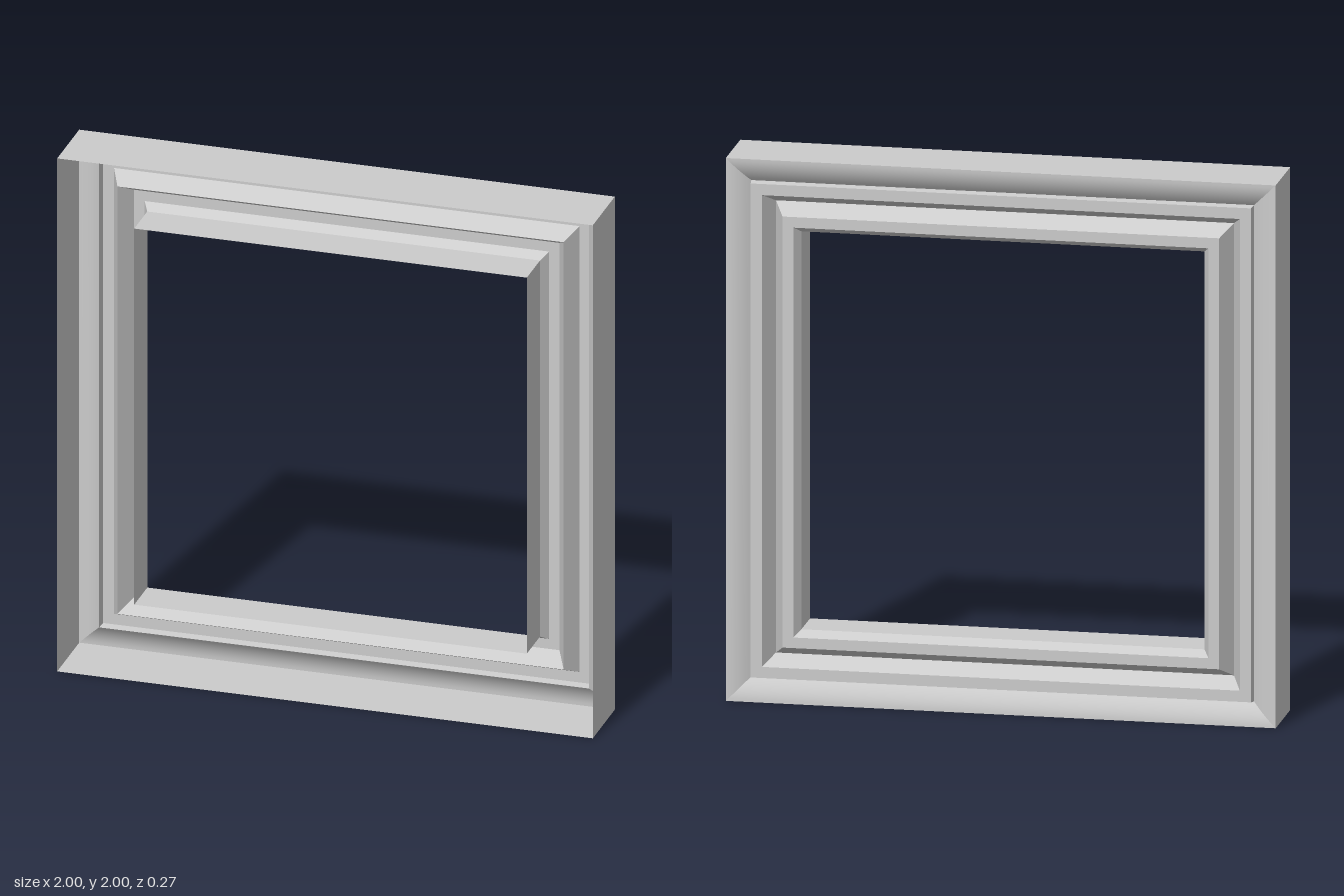
import * as THREE from 'three';
import { toCreasedNormals } from 'three/addons/utils/BufferGeometryUtils.js';

const material = new THREE.MeshStandardMaterial({ color: 0xcccccc, side: THREE.DoubleSide });
const BACK = -0.133;

// Cove that dips away from the back rim, getting steeper toward its inner edge
const cove = [];
for (let i = 0; i <= 8; i++) {
  const t = i / 8;
  cove.push([0.086 * t, BACK + 0.036 * t * t]);
}

// Cross-section of the hollow moulding, open at the front: [inset from outer edge, z]
const sections = {
  outerWall: [[0, 0.133], [0, BACK]],
  cove,
  backBead: [[0.086, BACK + 0.036], [0.09, -0.13], [0.131, -0.13]],
  groove: [[0.131, -0.13], [0.167, -0.055], [0.206, -0.13]],
  innerLip: [[0.206, -0.13], [0.245, -0.13], [0.267, -0.092]],
  openingWall: [[0.267, -0.092], [0.267, 0.066]],
};

// Mitred strip along the bottom rail, following a piece of the cross-section
function mitredStrip(profile) {
  const position = [];
  for (let i = 0; i < profile.length - 1; i++) {
    const [d0, z0] = profile[i];
    const [d1, z1] = profile[i + 1];
    const a0 = [d0 - 1, d0 - 1, z0], b0 = [1 - d0, d0 - 1, z0];
    const a1 = [d1 - 1, d1 - 1, z1], b1 = [1 - d1, d1 - 1, z1];
    position.push(...a0, ...a1, ...b1, ...a0, ...b1, ...b0);
  }
  const geometry = new THREE.BufferGeometry();
  geometry.setAttribute('position', new THREE.Float32BufferAttribute(position, 3));
  geometry.computeVertexNormals();
  return toCreasedNormals(geometry, Math.PI / 6);
}

export function createModel() {
  const model = new THREE.Group();
  model.name = 'squareFrame';
  const strips = Object.entries(sections).map(([name, profile]) => [name, mitredStrip(profile)]);

  // Four equal rails turned about the centre of the opening
  ['bottomRail', 'leftStile', 'topRail', 'rightStile'].forEach((railName, i) => {
    const rail = new THREE.Group();
    rail.name = railName;
    for (const [name, geometry] of strips) {
      const mesh = new THREE.Mesh(geometry, material);
      mesh.name = name;
      rail.add(mesh);
    }
    rail.rotation.z = i * Math.PI / 2;
    rail.position.y = 1;
    model.add(rail);
  });
  return model;
}
